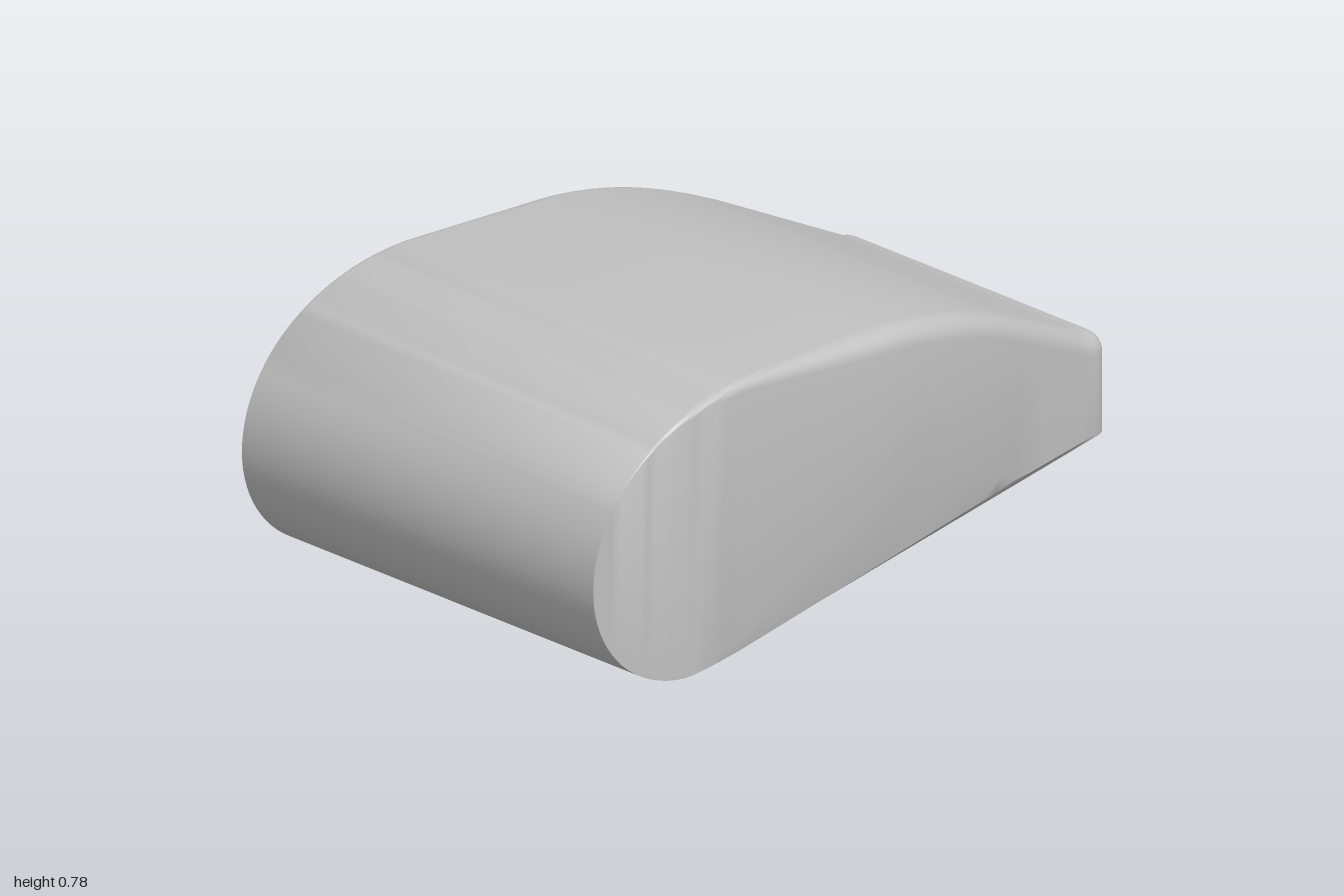
import * as THREE from 'three';
import { toCreasedNormals } from 'three/addons/utils/BufferGeometryUtils.js';

const { min, max, sqrt, sin, cos, PI } = Math;
const clamp01 = (v) => min(1, max(0, v));

const NOSE_TOP = -0.4;   // where the rounded nose meets the flat top
const NOSE_BASE = -0.65; // where the rounded nose touches the ground
const PINCH = 0.57;      // where the lower side edge levels out
const END = 0.94;        // start of the rounded tail edges
const R = 0.06;          // fillet radius

// Parabola that carries on as a straight line beyond x = 0.6
const taper = (x, k) => (x < 0 ? 0 : x < 0.6 ? k * x * x : k * (0.36 + 1.2 * (x - 0.6)));
const halfWidth = (x) => 0.677 - taper(x, 0.22);

function topY(x) {
  if (x > NOSE_TOP) return 0.78 - taper(x, 0.39);
  return 0.33 + 0.45 * sqrt(max(0, 1 - ((NOSE_TOP - x) / 0.6) ** 2));
}

function bottomY(x) {
  if (x > NOSE_BASE) return 0.2 * (x - NOSE_BASE) / (1 - NOSE_BASE);
  return 0.33 - 0.33 * sqrt(max(0, 1 - ((NOSE_BASE - x) / 0.35) ** 2));
}

// Closed cross-section at x; the tail angle rounds the last edges inward
function section(x, tail = 0) {
  const base = min(x, END);
  const inset = R * (1 - cos(tail));
  const w = halfWidth(base) - inset;
  const top = topY(base) - inset;
  const bottom = bottomY(x);
  const r = R * clamp01((x + 0.9) / 0.9) * cos(tail);

  // Underside narrows in a straight line; a chamfer joins it to the side
  const along = clamp01((x + 0.6) / 1.6);
  const baseW = min(w, 0.677 - 0.177 * along);
  const pinch = clamp01((x + 0.6) / (PINCH + 0.6));
  const midW = x < PINCH ? 0.677 + (halfWidth(PINCH) - 0.677) * pinch : w;
  const midY = max(bottom, 0.2 * pinch);
  const fanY = max(midY, min(0.5 * (x + 0.6), 0.2 + 0.54 * (PINCH - x)));

  const half = [[baseW, bottom], [min(w, midW), midY], [w, fanY]];
  for (let i = 0; i <= 6; i++) {
    const a = (i / 6) * PI / 2;
    half.push([w - r + r * cos(a), top - r + r * sin(a)]);
  }
  const mirrored = half.slice().reverse().map(([z, y]) => [-z, y]);
  return [...half, ...mirrored].map(([z, y]) => [x, y, z]);
}

function bodyGeometry() {
  const rings = [];
  for (let i = 0; i <= 48; i++) {
    rings.push(section(-1 + (END + 1) * (1 - cos((i / 48) * PI / 2))));
  }
  for (let i = 1; i <= 6; i++) {
    const a = (i / 6) * PI / 2;
    rings.push(section(END + R * sin(a), a));
  }

  const n = rings[0].length;
  const index = [];
  for (let i = 0; i < rings.length - 1; i++) {
    for (let j = 0; j < n; j++) {
      const k = (j + 1) % n;
      const a = i * n + j, b = a + n, c = (i + 1) * n + k, d = i * n + k;
      index.push(a, b, c, a, c, d);
    }
  }
  // Flat tail face
  const last = (rings.length - 1) * n;
  for (let j = 1; j < n - 1; j++) index.push(last, last + j + 1, last + j);

  const geometry = new THREE.BufferGeometry();
  geometry.setAttribute('position', new THREE.Float32BufferAttribute(rings.flat(2), 3));
  geometry.setIndex(index);
  return toCreasedNormals(geometry, 0.6);
}

export function createModel() {
  const grey = new THREE.MeshStandardMaterial({ color: 0xc0c0c0 });
  grey.name = 'light grey';
  const body = new THREE.Mesh(bodyGeometry(), grey);
  body.name = 'taperedBody';
  const model = new THREE.Group();
  model.name = 'roundedWedge';
  model.add(body);
  return model;
}
